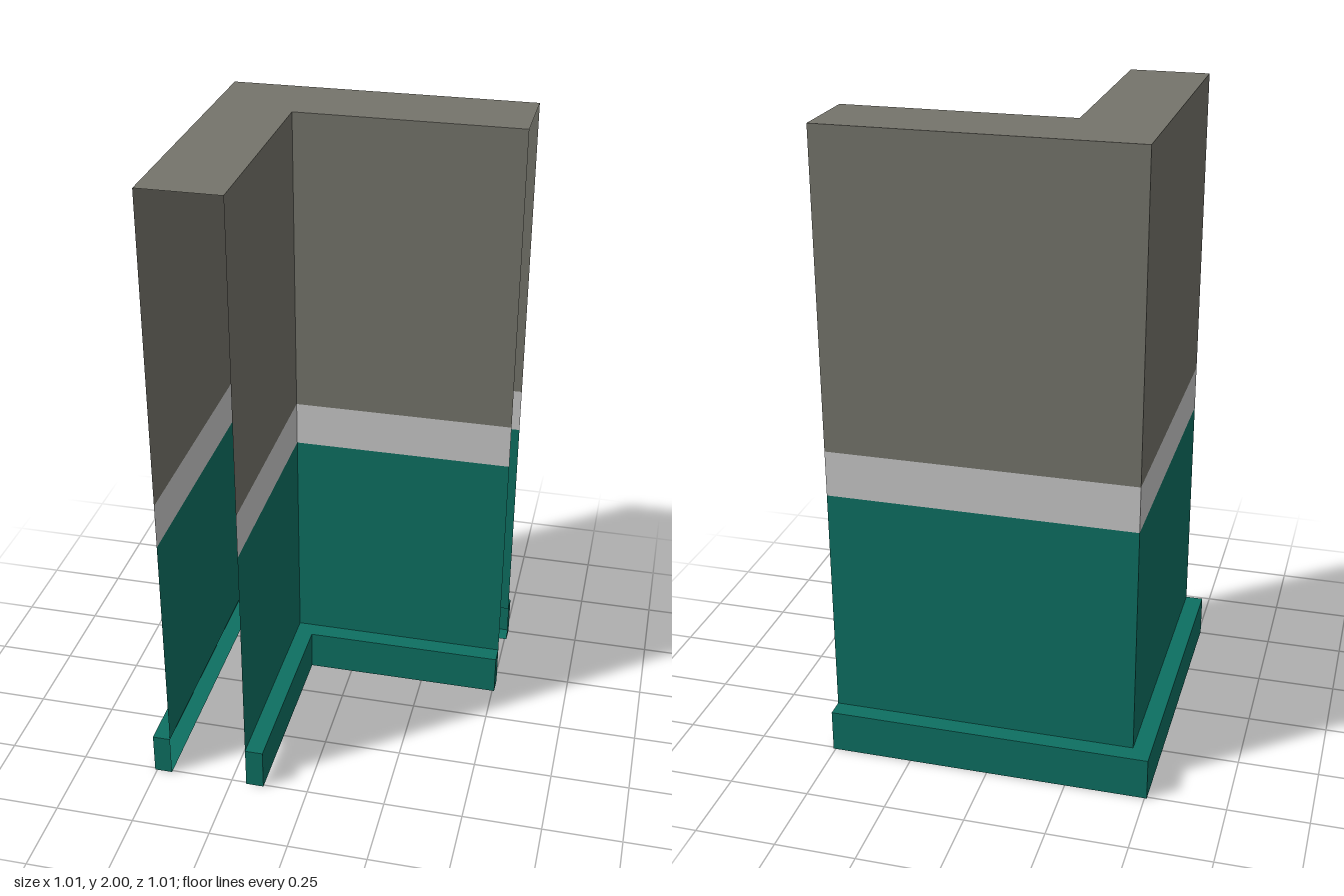
import * as THREE from 'three';

const END = 0.507;                       // open ends of both arms
const OUT = -0.45, IN = -0.2;            // wall planes
const SKIRT_OUT = -0.507, SKIRT_IN = -0.143;
const LEDGE = 0.135, BAND_LOW = 0.87, BAND_HIGH = 1.015, TOP = 2;

// Plan lines around the corner, as [x, z]
const outerLine = (d) => [[END, d], [d, d], [d, END]];
const innerLine = (d) => [[d, END], [d, d], [END, d]];

// Strip of quads between a lower and an upper plan line
function strip(low, y0, high, y1) {
  const pos = [];
  for (let i = 0; i < low.length - 1; i++) {
    const a = [low[i][0], y0, low[i][1]], b = [low[i + 1][0], y0, low[i + 1][1]];
    const c = [high[i + 1][0], y1, high[i + 1][1]], d = [high[i][0], y1, high[i][1]];
    pos.push(...a, ...b, ...c, ...a, ...c, ...d);
  }
  const g = new THREE.BufferGeometry();
  g.setAttribute('position', new THREE.Float32BufferAttribute(pos, 3));
  g.computeVertexNormals();
  return g;
}

export function createModel() {
  const model = new THREE.Group();
  const material = (name, color) =>
    new THREE.MeshStandardMaterial({ name, color, side: THREE.DoubleSide });
  const grey = material('warm grey', 0x75746b);
  const white = material('pale grey', 0xc9c9c9);
  const green = material('teal green', 0x0d7062);

  const add = (name, geometry, mat) => {
    const mesh = new THREE.Mesh(geometry, mat);
    mesh.name = name;
    model.add(mesh);
  };

  for (const [side, line, wall, skirt] of [
    ['outer', outerLine, OUT, SKIRT_OUT],
    ['inner', innerLine, IN, SKIRT_IN],
  ]) {
    // Wall in three colour bands
    const w = line(wall), s = line(skirt);
    add(side + 'LowerWall', strip(w, LEDGE, w, BAND_LOW), green);
    add(side + 'Band', strip(w, BAND_LOW, w, BAND_HIGH), white);
    add(side + 'UpperWall', strip(w, BAND_HIGH, w, TOP), grey);

    // Skirting board and its ledge
    add(side + 'Skirting', strip(s, 0, s, LEDGE), green);
    add(side + 'SkirtingLedge', strip(s, LEDGE, w, LEDGE), green);
    if (side === 'outer') add('outerSkirtingBottom', strip(w, 0, s, 0), green);

    // End caps of the skirting
    const width = Math.abs(wall - skirt), mid = (wall + skirt) / 2;
    const cap = new THREE.PlaneGeometry(width, LEDGE);
    add(side + 'FrontCap', cap.clone().translate(mid, LEDGE / 2, END), green);
    add(side + 'SideCap', cap.clone().rotateY(Math.PI / 2).translate(END, LEDGE / 2, mid), green);
  }

  // Flat L-shaped top
  const outline = [...outerLine(OUT), ...innerLine(IN)].map(([x, z]) => new THREE.Vector2(x, -z));
  const top = new THREE.ShapeGeometry(new THREE.Shape(outline));
  add('wallTop', top.rotateX(-Math.PI / 2).translate(0, TOP, 0), grey);

  return model;
}
